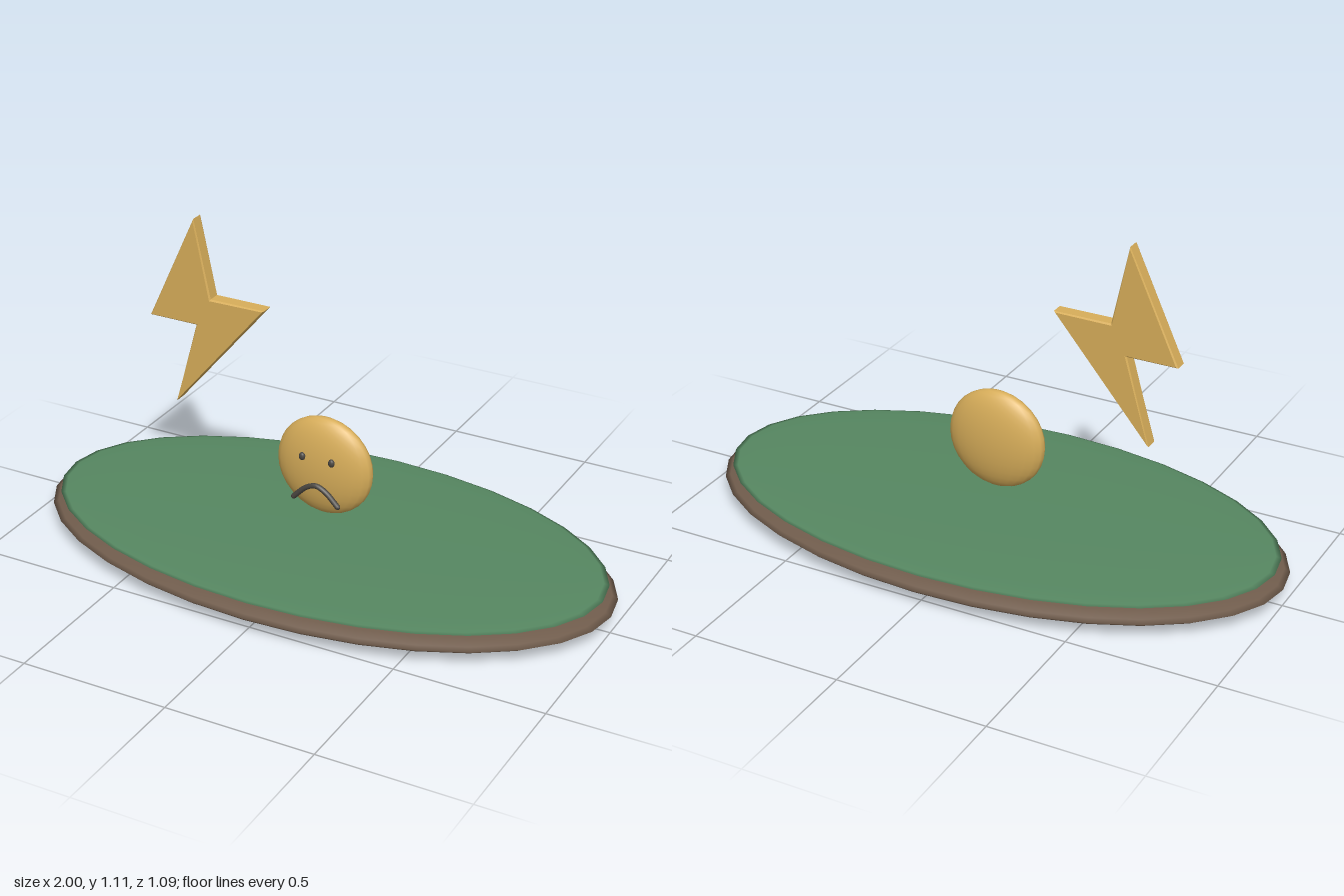
import * as THREE from 'three';

const mat = (name, color) => {
  const m = new THREE.MeshStandardMaterial({ color });
  m.name = name;
  return m;
};

export function createModel() {
  const group = new THREE.Group();
  const gold = mat('gold', 0xd8ae5a);
  const green = mat('grass green', 0x568761);
  const brown = mat('earth brown', 0x705c4c);
  const dark = mat('dark grey', 0x4a4640);

  const add = (name, geometry, material) => {
    const mesh = new THREE.Mesh(geometry, material);
    mesh.name = name;
    group.add(mesh);
    return mesh;
  };
  // Sphere squashed to three radii
  const ellipsoid = (name, material, radii, position, w = 32, h = 16) => {
    const mesh = add(name, new THREE.SphereGeometry(1, w, h), material);
    mesh.scale.set(...radii);
    mesh.position.set(...position);
  };

  // Ground: earth lens with a thin grass lens on top
  ellipsoid('earthBase', brown, [1, 0.057, 0.545], [0, 0.06, 0]);
  ellipsoid('grassTop', green, [0.97, 0.017, 0.525], [0, 0.105, 0]);

  // Flattened face with eyes
  ellipsoid('face', gold, [0.171, 0.171, 0.057], [0, 0.34, 0], 24, 16);
  for (const side of [-1, 1]) {
    ellipsoid(side < 0 ? 'rightEye' : 'leftEye', dark,
      [0.011, 0.014, 0.009], [side * 0.053, 0.385, 0.059], 12, 8);
  }

  // Frowning mouth with rounded ends
  const z = 0.067;
  const frown = new THREE.CatmullRomCurve3(
    [[-0.08, 0.237], [-0.035, 0.28], [0, 0.294], [0.035, 0.28], [0.08, 0.237]]
      .map(([x, y]) => new THREE.Vector3(x, y, z)));
  add('mouth', new THREE.TubeGeometry(frown, 20, 0.009, 8), dark);
  for (const side of [-1, 1]) {
    ellipsoid('mouthEnd', dark, [0.009, 0.009, 0.009], [side * 0.08, 0.237, z], 8, 6);
  }

  // Lightning bolt, slightly bevelled
  const bevel = 0.005;
  const outline = [[-0.46, 1.108], [-0.403, 0.843], [-0.208, 0.843],
    [-0.54, 0.452], [-0.458, 0.743], [-0.63, 0.743]];
  const bolt = new THREE.ExtrudeGeometry(
    new THREE.Shape(outline.map(([x, y]) => new THREE.Vector2(x, y))), {
      depth: 0.04, bevelEnabled: true, bevelSize: bevel, bevelThickness: bevel,
      bevelOffset: -bevel, bevelSegments: 1,
    });
  bolt.translate(0, 0, -0.02);
  add('lightningBolt', bolt, gold);

  return group;
}
